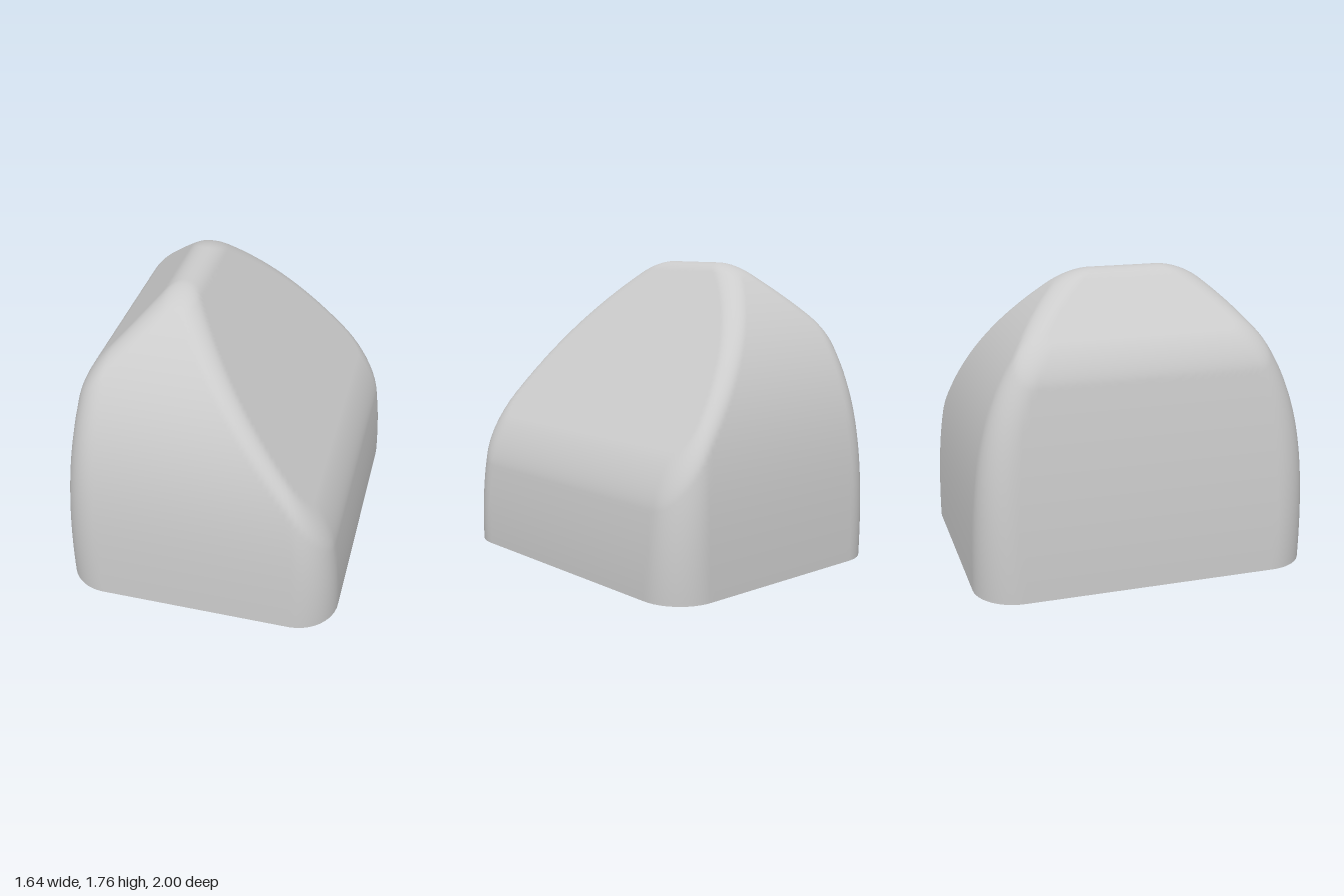
import * as THREE from 'three';
import { toCreasedNormals } from 'three/addons/utils/BufferGeometryUtils.js';

const COLS = 240, ROWS = 120;

// Intersection of two distances with a rounded edge of radius r
function rounded(r, a, b) {
  return Math.min(Math.max(a, b) + r, 0) + Math.hypot(Math.max(a + r, 0), Math.max(b + r, 0)) - r;
}

// Signed field of the outer body: bulging sides cut by two sloping roof planes
function bodyField(x, y, z) {
  const y2 = y * y;
  const bulgeX = x > 0 ? 0.15 : 0.055;
  const dx = (Math.abs(x) - 0.82 + bulgeX * y2) / Math.hypot(1, 2 * bulgeX * y);
  const dz = (Math.abs(z) - 1 + 0.045 * y2 + 0.055 * y2 * y2) / Math.hypot(1, 0.09 * y + 0.22 * y2 * y);
  const sides = rounded(0.25 - 0.08 * Math.min(Math.abs(y), 1.8), dx, dz);
  const longSlope = (y + 1.19 * x - 1.55) / Math.hypot(1, 1.19);
  const shortSlope = (y - x - 2.06) / Math.SQRT2;
  return rounded(0.08, sides, rounded(0.16, longSlope, shortSlope));
}

// Distance from the origin along a direction to the surface of a field
function reach(field, d) {
  let near = 0, far = 3;
  for (let k = 0; k < 32; k++) {
    const t = (near + far) / 2;
    if (field(d.x * t, d.y * t, d.z * t) < 0) near = t; else far = t;
  }
  return near;
}

// One closed ring of points where rays at a given elevation meet a field
function ring(field, elevation, y = 0) {
  const points = [];
  for (let i = 0; i <= COLS; i++) {
    const a = (i % COLS) / COLS * Math.PI * 2, c = Math.cos(elevation);
    const d = new THREE.Vector3(Math.cos(a) * c, Math.sin(elevation), Math.sin(a) * c);
    const p = d.clone().multiplyScalar(reach(field, d));
    p.y += y;
    points.push(p);
  }
  return points;
}

// Skin a list of rings
function loft(rings) {
  const index = [], n = COLS + 1;
  for (let j = 0; j < rings.length - 1; j++) {
    for (let i = 0; i < COLS; i++) {
      const a = j * n + i, b = a + n;
      index.push(a, b, a + 1, a + 1, b, b + 1);
    }
  }
  const geometry = new THREE.BufferGeometry().setFromPoints(rings.flat());
  geometry.setIndex(index);
  return geometry;
}

export function createModel() {
  const group = new THREE.Group();
  group.name = 'wedgeCap';
  const material = new THREE.MeshStandardMaterial({ color: 0xcccccc });
  const add = (name, geometry) => {
    const mesh = new THREE.Mesh(geometry, material);
    mesh.name = name;
    group.add(mesh);
  };

  // Outer shell, with smooth normals taken from the field's gradient
  const shellRings = [];
  for (let j = 0; j <= ROWS; j++) shellRings.push(ring(bodyField, j / ROWS * Math.PI / 2));
  const shell = loft(shellRings);
  const e = 0.002, normals = [];
  for (const { x, y, z } of shellRings.flat()) {
    const g = new THREE.Vector3(
      bodyField(x + e, y, z) - bodyField(x - e, y, z),
      bodyField(x, y + e, z) - bodyField(x, y - e, z),
      bodyField(x, y, z + e) - bodyField(x, y, z - e)).normalize();
    normals.push(g.x, g.y, g.z);
  }
  shell.setAttribute('normal', new THREE.Float32BufferAttribute(normals, 3));
  add('outerShell', shell);

  // Underside: flat rim around a recess with a chamfered ceiling
  const recess = (inset, y) => ring((x, _, z) =>
    rounded(0.2 - inset * 0.5, Math.abs(x) - 0.62 + inset, Math.abs(z) - 0.8 + inset), 0, y);
  const opening = recess(0, 0), wallTop = recess(0, 0.27), ceiling = recess(0.09, 0.3);
  const centre = ceiling.map(() => new THREE.Vector3(0, 0.3, 0));
  add('bottomRim', toCreasedNormals(loft([opening, shellRings[0]]), 0.4));
  add('recessWall', toCreasedNormals(loft([wallTop, opening]), 0.4));
  add('recessChamfer', toCreasedNormals(loft([ceiling, wallTop]), 0.4));
  add('recessCeiling', toCreasedNormals(loft([centre, ceiling]), 0.4));
  return group;
}
